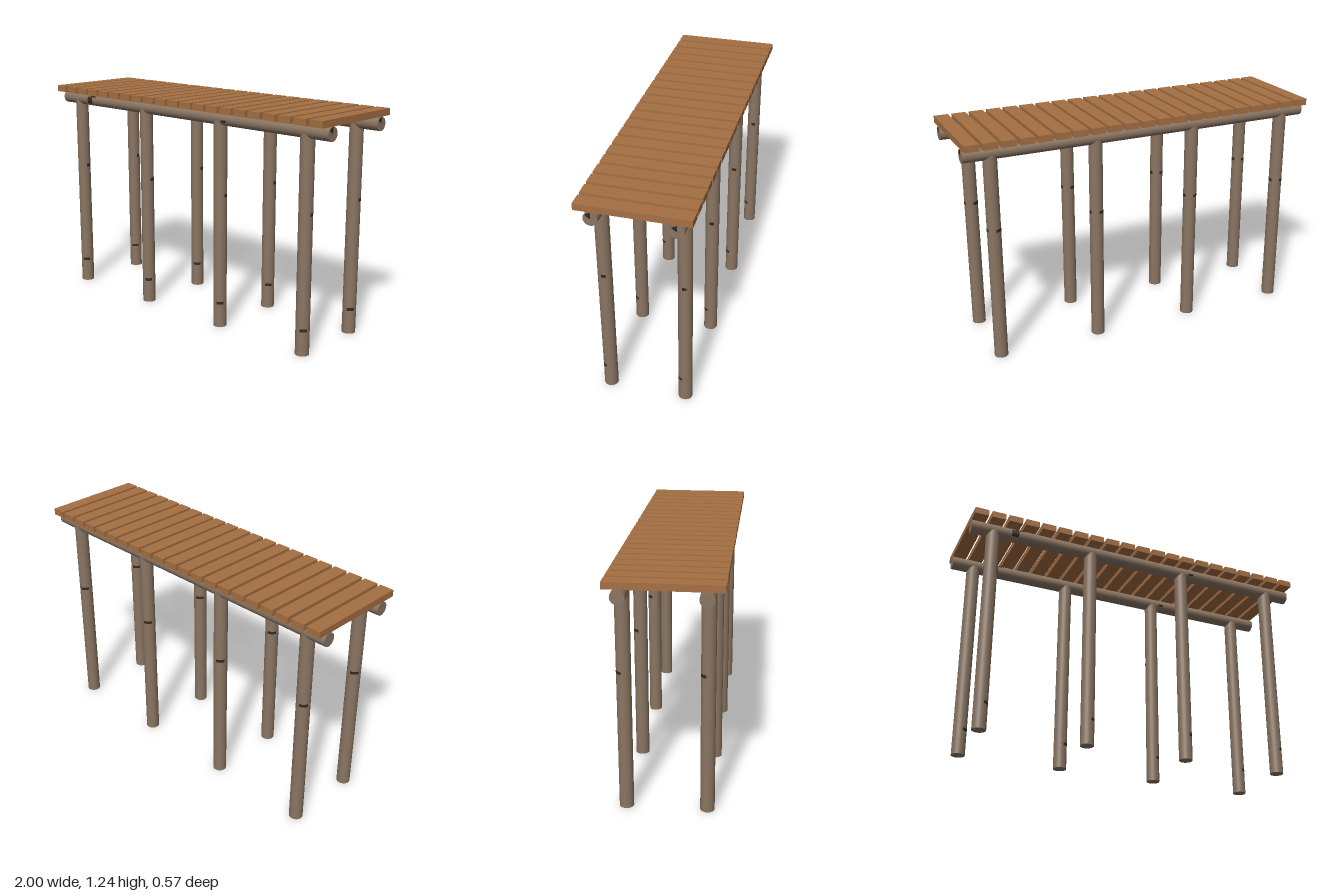
import * as THREE from 'three';

const plankWood = new THREE.MeshStandardMaterial({ color: 0xa66f43 });
plankWood.name = 'plankWood';
const logWood = new THREE.MeshStandardMaterial({ color: 0x8a7562 });
logWood.name = 'logWood';
const darkKnot = new THREE.MeshStandardMaterial({ color: 0x33291f });
darkKnot.name = 'darkKnot';

const LOG_R = 0.037, BEAM_Y = 1.163, POST_TOP = 1.155;

function add(parent, name, geometry, material, x = 0, y = 0, z = 0) {
  const mesh = new THREE.Mesh(geometry, material);
  mesh.name = name;
  mesh.position.set(x, y, z);
  parent.add(mesh);
  return mesh;
}

// Round log along y with thin dark knots: [position along log, height, start angle, end angle]
function makeLog(name, length, knots) {
  const log = new THREE.Group();
  log.name = name;
  add(log, 'logBody', new THREE.CylinderGeometry(LOG_R, LOG_R, length, 28), logWood);
  for (const [at, height, from, to] of knots) {
    const r = LOG_R + 0.0006;
    add(log, 'knot', new THREE.CylinderGeometry(r, r, height, 10, 1, true, from, to - from), darkKnot, 0, at);
  }
  return log;
}

export function createModel() {
  const model = new THREE.Group();
  model.name = 'woodenPier';

  // Deck planks with gaps
  const count = 21, width = 0.077;
  const plank = new THREE.BoxGeometry(width, 0.036, 0.574);
  for (let i = 0; i < count; i++) {
    const x = -1 + width / 2 + i * (2 - width) / (count - 1);
    add(model, 'deckPlank', plank, plankWood, x, 1.218, 0);
  }

  for (const z of [0.202, -0.212]) {
    // Long beam under the planks
    const beam = makeLog('beam', 2, [
      [-0.73, 0.05, -1.5, -0.5],
      [-0.755, 0.04, -0.5, 0.6],
      [0.285, 0.03, -1.2, -0.8],
      [0.33, 0.03, 0.1, 0.45],
    ]);
    beam.rotation.z = -Math.PI / 2;
    beam.position.set(0, BEAM_Y, z);
    model.add(beam);

    // Crack on the beam's sawn end
    const crack = add(model, 'endCrack', new THREE.CircleGeometry(0.034, 8, 1.5, 1.1), darkKnot, 1.0006, BEAM_Y, z);
    crack.rotation.y = Math.PI / 2;
    crack.scale.x = 0.9;

    // Row of posts
    for (let i = 0; i < 4; i++) {
      const post = makeLog('post', POST_TOP, [
        [0.14 - POST_TOP / 2, 0.016, 0.2, 1.3],
        [0.747 - POST_TOP / 2, 0.018, 1.35, 2.0],
        [0.747 - POST_TOP / 2, 0.016, 3.2, 4.5],
      ]);
      post.position.set(-0.874 + i * 0.5755, POST_TOP / 2, z);
      model.add(post);
    }
  }
  return model;
}
